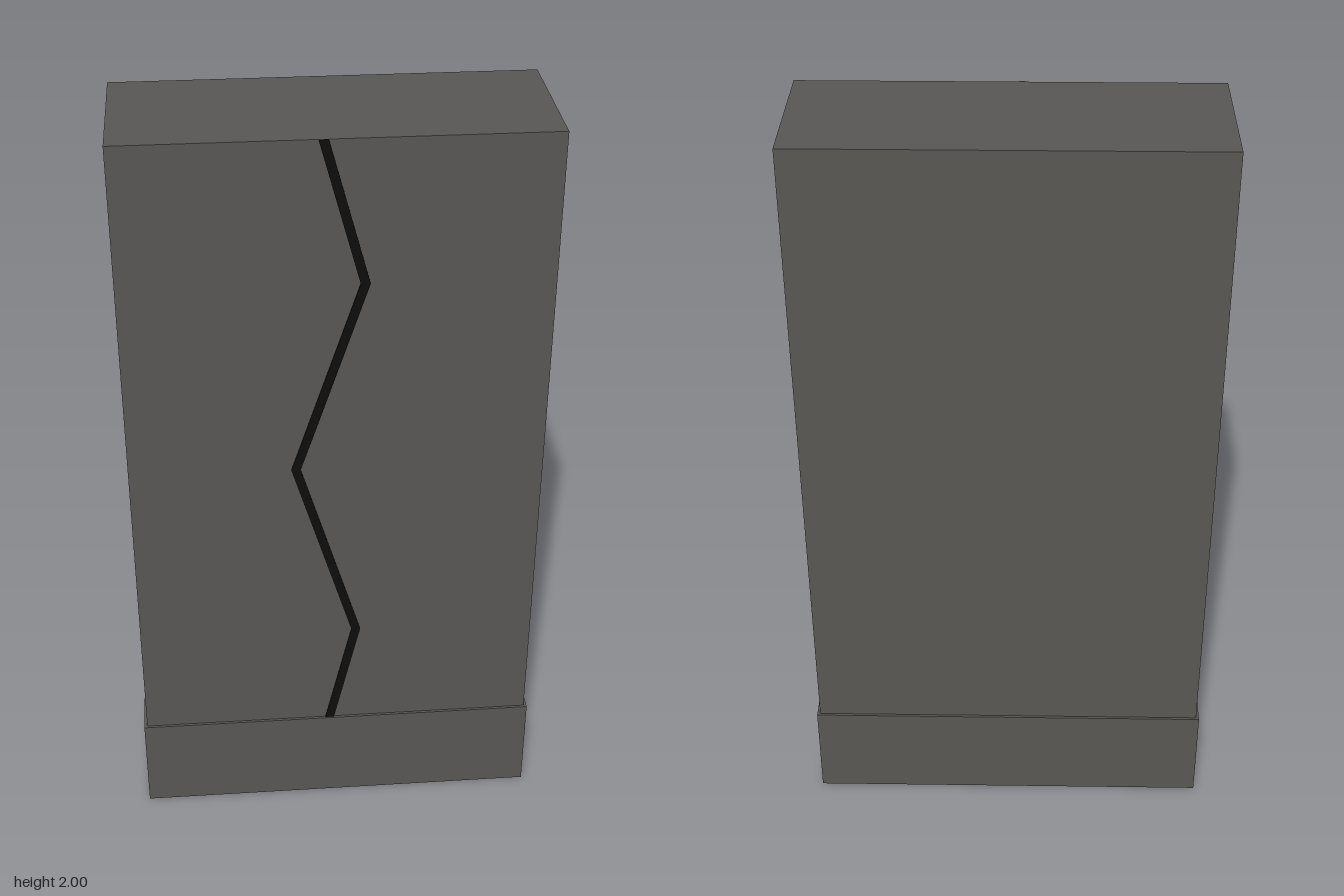
import * as THREE from 'three';

export function createModel() {
  const model = new THREE.Group();
  const stone = new THREE.MeshStandardMaterial({ name: 'dark stone', color: 0x5a5855 });
  const black = new THREE.MeshStandardMaterial({ name: 'crack black', color: 0x0d0d0d });

  const add = (name, geometry, material, y, z = 0) => {
    const mesh = new THREE.Mesh(geometry, material);
    mesh.name = name;
    mesh.position.set(0, y, z);
    model.add(mesh);
  };

  // Plinth and the slightly narrower slab standing on it
  const baseTop = 0.27;
  add('base', new THREE.BoxGeometry(1.08, baseTop, 0.414), stone, baseTop / 2);
  add('slab', new THREE.BoxGeometry(1.064, 2 - baseTop, 0.4), stone, (2 + baseTop) / 2);

  // Zigzag crack: a thin ribbon of constant horizontal width on the front face
  const path = [[-0.033, 2], [0.067, 1.63], [-0.106, 1.105], [0.051, 0.58], [-0.02, baseTop]];
  const half = 0.012;
  const outline = [
    ...path.map(([x, y]) => new THREE.Vector2(x - half, y)),
    ...path.map(([x, y]) => new THREE.Vector2(x + half, y)).reverse(),
  ];
  const crack = new THREE.ExtrudeGeometry(new THREE.Shape(outline), { depth: 0.003, bevelEnabled: false });
  add('crack', crack, black, 0, 0.2);

  return model;
}
